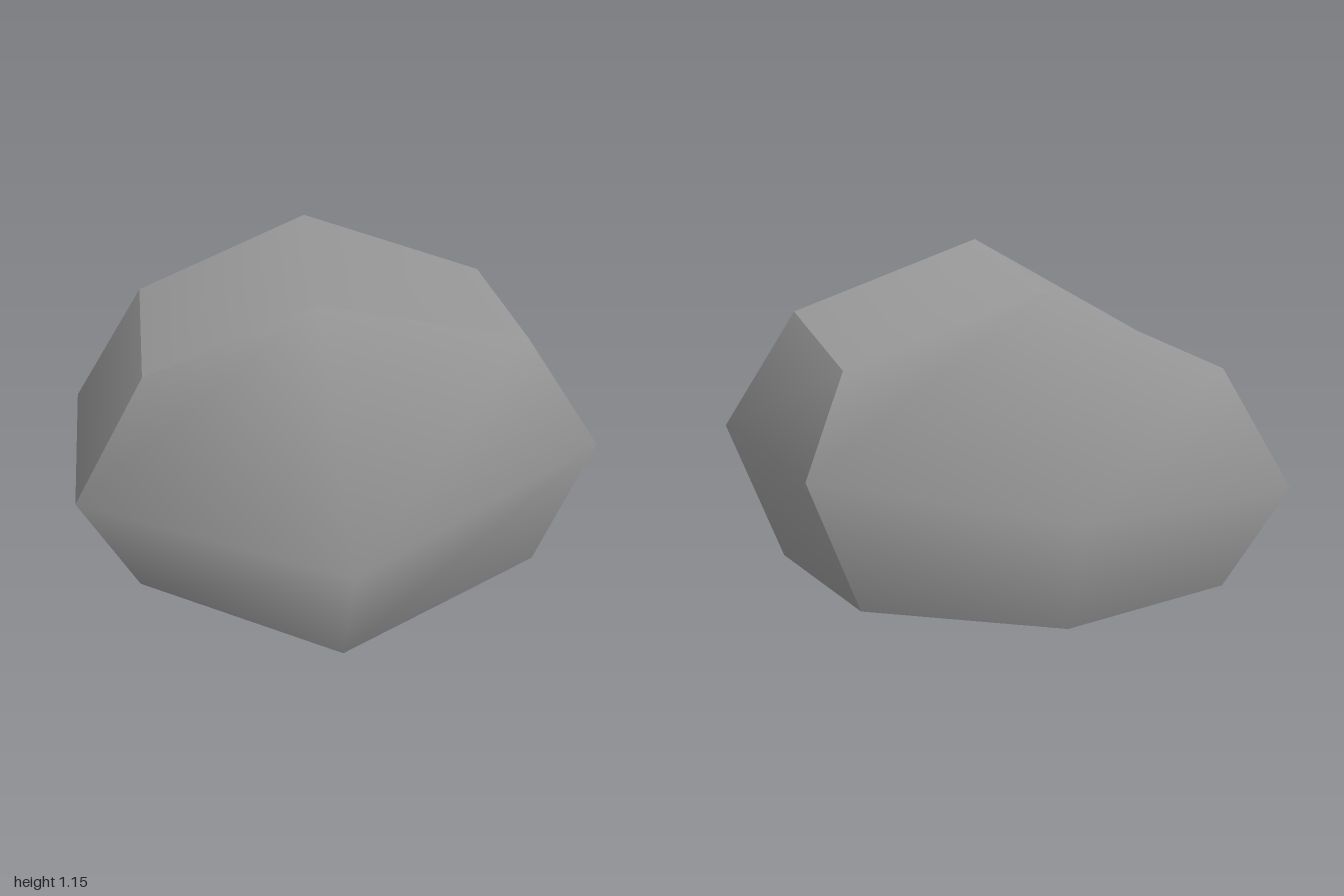
import * as THREE from 'three';

// Corner columns of the rock as [x, y, z], ordered left to right for each ring
const rings = [
  { // bottom
    front: [[-0.62, 0, 0.38], [0.13, 0.015, 0.84], [0.77, 0.03, 0.14]],
    back: [[-0.76, 0.02, -0.385], [-0.16, 0.02, -0.88], [0.5, 0.01, -0.58]],
  },
  { // waist
    front: [[-0.81, 0.375, 0.52], [0.18, 0.38, 1], [0.975, 0.51, 0.19]],
    back: [[-0.98, 0.375, -0.44], [-0.19, 0.39, -1], [0.675, 0.49, -0.76]],
  },
  { // top
    front: [[-0.58, 0.81, 0.42], [0.03, 1.15, 0.6], [0.72, 0.92, 0.24]],
    back: [[-0.73, 0.8, -0.48], [-0.11, 1.075, -0.59], [0.55, 0.84, -0.69]],
  },
];

// Smooth normals averaged from whole quads, so the diagonals do not skew the shading
function smoothQuadNormals(geometry) {
  const { position, normal } = geometry.attributes;
  const index = geometry.index.array;
  const sums = Array.from({ length: position.count }, () => new THREE.Vector3());
  const point = (i) => new THREE.Vector3().fromBufferAttribute(position, i);
  for (let i = 0; i < index.length; i += 6) {
    const [a, b, d, , c] = index.slice(i, i + 6);
    const across = point(c).sub(point(a));
    const quadNormal = across.cross(point(d).sub(point(b))).normalize();
    for (const corner of [a, b, c, d]) sums[corner].add(quadNormal);
  }
  sums.forEach((sum, i) => normal.setXYZ(i, ...sum.normalize()));
}

export function createModel() {
  const group = new THREE.Group();
  group.name = 'boulder';

  // A subdivided block pulled into shape; each of its six sides stays smooth within itself
  const geometry = new THREE.BoxGeometry(2, 2, 2, 2, 2, 1);
  const position = geometry.attributes.position;
  for (let i = 0; i < position.count; i++) {
    const ring = rings[Math.round(position.getY(i)) + 1];
    const side = position.getZ(i) > 0 ? ring.front : ring.back;
    position.setXYZ(i, ...side[Math.round(position.getX(i)) + 1]);
  }
  smoothQuadNormals(geometry);

  const rock = new THREE.Mesh(geometry, new THREE.MeshStandardMaterial({ color: 0x999999 }));
  rock.name = 'rock';
  group.add(rock);
  return group;
}
